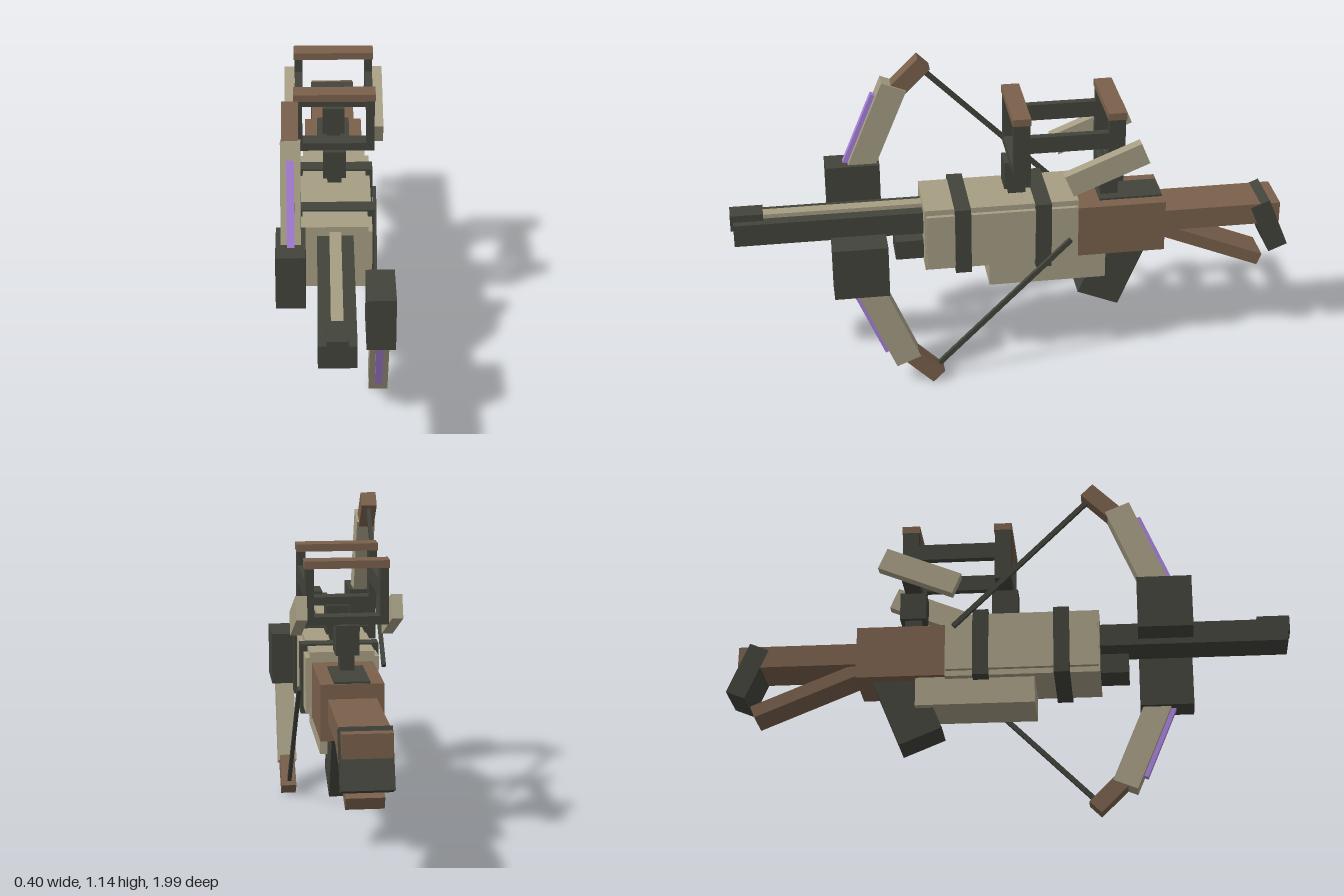
import * as THREE from 'three';

const mat = (name, color) => {
  const m = new THREE.MeshStandardMaterial({ color });
  m.name = name;
  return m;
};

export function createModel() {
  const dark = mat('dark metal', 0x42433b);
  const tan = mat('tan plating', 0xa69e84);
  const brown = mat('brown wood', 0x7a604c);
  const purple = mat('purple inlay', 0xa982dc);
  const model = new THREE.Group();
  model.name = 'crossbow';
  const TILT = Math.PI / 8;

  // Box given by its centre, size and tilt about x
  const tilted = (name, m, [x, y, z], size, tilt = 0, parent = model) => {
    const mesh = new THREE.Mesh(new THREE.BoxGeometry(...size), m);
    mesh.name = name;
    mesh.position.set(x, y, z);
    mesh.rotation.x = tilt;
    parent.add(mesh);
    return mesh;
  };
  // Upright box given by its ranges
  const box = (name, m, x0, x1, y0, y1, z0, z1, parent = model) =>
    tilted(name, m, [(x0 + x1) / 2, (y0 + y1) / 2, (z0 + z1) / 2], [x1 - x0, y1 - y0, z1 - z0], 0, parent);

  // Front rail
  box('rail', dark, -0.062, 0.062, 0.558, 0.64, 0.3, 0.99);
  box('boltGroove', tan, -0.02, 0.02, 0.63, 0.655, 0.3, 0.9);
  box('railTip', dark, -0.035, 0.035, 0.605, 0.665, 0.885, 1.0);
  box('underRailBlock', dark, -0.057, 0.057, 0.455, 0.527, 0.3, 0.43);

  // Body with stepped corners and two bands
  box('bodyTall', tan, -0.112, 0.112, 0.437, 0.674, -0.215, 0.33);
  box('bodyWide', tan, -0.127, 0.127, 0.457, 0.654, -0.21, 0.325);
  for (const z of [0.197, -0.088]) {
    box('bodyBand', dark, -0.137, 0.137, 0.43, 0.68, z - 0.028, z + 0.028);
  }
  box('underBody', tan, -0.088, 0.088, 0.34, 0.45, -0.32, 0.1);
  tilted('grip', dark, [0, 0.364, -0.354], [0.125, 0.28, 0.16], -TILT);

  // Stock
  box('stockBlock', brown, -0.106, 0.106, 0.445, 0.638, -0.53, -0.2);
  box('stockTopPlate', dark, -0.06, 0.06, 0.636, 0.645, -0.525, -0.3);
  box('stockUpperArm', brown, -0.081, 0.081, 0.508, 0.588, -0.957, -0.5);
  tilted('stockLowerStrut', brown, [0, 0.431, -0.692], [0.125, 0.045, 0.45], -TILT);
  tilted('buttPlate', dark, [0, 0.495, -0.922], [0.167, 0.2, 0.073], TILT);

  // Sight frames on short stems
  for (const z of [-0.008, -0.34]) {
    const frame = new THREE.Group();
    frame.name = 'sightFrame';
    frame.position.z = z;
    model.add(frame);
    box('stem', dark, -0.025, 0.025, 0.63, 0.705, -0.031, 0.031, frame);
    box('mountBlock', dark, -0.04, 0.04, 0.7, 0.803, -0.047, 0.047, frame);
    box('lowerBar', dark, -0.14, 0.14, 0.801, 0.83, -0.029, 0.029, frame);
    box('topBar', brown, -0.143, 0.143, 0.994, 1.02, -0.032, 0.032, frame);
    for (const s of [-1, 1]) {
      tilted('post', dark, [s * 0.126, 0.9, 0], [0.028, 0.19, 0.058], 0, frame);
    }
  }
  for (const s of [-1, 1]) {
    tilted('sightLink', dark, [s * 0.126, 0.915, -0.174], [0.026, 0.06, 0.28]);
    tilted('sidePlate', tan, [s * 0.159, 0.821, -0.302], [0.038, 0.083, 0.288], TILT);
  }

  // Bow arms: the lower one is the upper one rolled half a turn
  for (const [name, roll] of [['upperBowArm', 0], ['lowerBowArm', Math.PI]]) {
    const arm = new THREE.Group();
    arm.name = name;
    arm.position.y = 0.575;
    arm.rotation.z = roll;
    model.add(arm);
    box('limbMount', dark, -0.198, -0.1, -0.013, 0.18, 0.465, 0.657, arm);
    const limb = tilted('limb', tan, [-0.148, 0.297, 0.477], [0.066, 0.38, 0.093], -TILT, arm);
    tilted('limbInlay', purple, [0, -0.015, 0.053], [0.025, 0.29, 0.02], 0, limb);
    tilted('limbTip', brown, [-0.15, 0.498, 0.35], [0.055, 0.15, 0.06], -Math.PI / 4, arm);
    tilted('string', dark, [-0.148, 0.274, 0.055], [0.014, 0.017, 0.67], -Math.PI / 4, arm);
  }
  return model;
}
